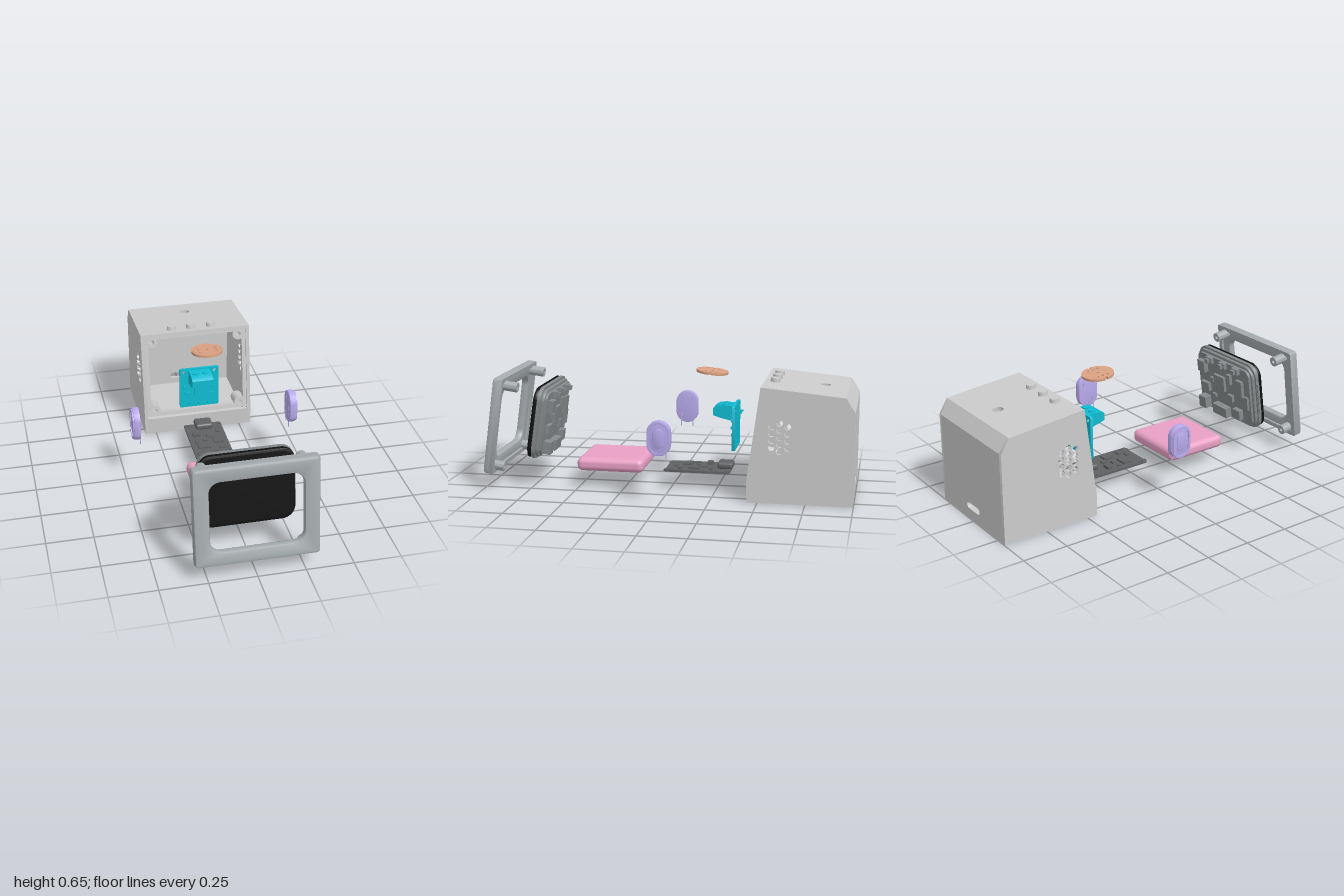
import * as THREE from 'three';
import { toCreasedNormals } from 'three/addons/utils/BufferGeometryUtils.js';
import { RoundedBoxGeometry } from 'three/addons/geometries/RoundedBoxGeometry.js';

const CX = 0.0025, W = 0.635, TILT = -0.138;
const mat = (color) => new THREE.MeshStandardMaterial({ color });
const M = {
  grey: mat(0xcccccc), bezel: mat(0xa5abae), module: mat(0x858a8c), black: mat(0x111111),
  board: mat(0x606264), pink: mat(0xe8a0c4), lilac: mat(0xb9abec), cyan: mat(0x0fbcd2), copper: mat(0xdba183),
};

function add(parent, name, geo, material, x = 0, y = 0, z = 0) {
  const m = new THREE.Mesh(geo, material);
  m.name = name;
  m.position.set(x, y, z);
  parent.add(m);
  return m;
}
function group(parent, name, x = 0, y = 0, z = 0, rx = 0) {
  const g = new THREE.Group();
  g.name = name;
  g.position.set(x, y, z);
  g.rotation.x = rx;
  parent.add(g);
  return g;
}
const box = (p, name, m, w, h, d, x, y, z) => add(p, name, new THREE.BoxGeometry(w, h, d), m, x, y, z);

// Rounded rectangle centred on (cx, cy)
function rounded(w, h, r, cx = 0, cy = 0) {
  const s = new THREE.Shape(), a = w / 2 - r, b = h / 2 - r;
  s.absarc(cx + a, cy + b, r, 0, Math.PI / 2);
  s.absarc(cx - a, cy + b, r, Math.PI / 2, Math.PI);
  s.absarc(cx - a, cy - b, r, Math.PI, Math.PI * 1.5);
  s.absarc(cx + a, cy - b, r, Math.PI * 1.5, Math.PI * 2);
  return s;
}
function circle(x, y, r, n = 24, start = 0) {
  const pts = [];
  for (let i = 0; i < n; i++) {
    const t = start + (i / n) * Math.PI * 2;
    pts.push(new THREE.Vector2(x + r * Math.cos(t), y + r * Math.sin(t)));
  }
  return new THREE.Shape(pts);
}
const polygon = (pts) => new THREE.Shape(pts.map(([x, y]) => new THREE.Vector2(x, y)));

// Extrusion from z0 to z1, with an optional edge bevel inside that range
function slab(shape, z0, z1, holes = [], bevel = 0) {
  shape.holes.push(...holes);
  const g = new THREE.ExtrudeGeometry(shape, {
    depth: z1 - z0 - 2 * bevel, bevelEnabled: bevel > 0, bevelSize: bevel,
    bevelThickness: bevel, bevelSegments: 2, curveSegments: 10,
  });
  g.translate(0, 0, z0 + bevel);
  return toCreasedNormals(g, 0.6);
}
// Turns a (z, y) drawing so that it is extruded along x
const alongX = (g) => g.rotateY(-Math.PI / 2);

function buildCase(root) {
  const g = group(root, 'case', CX);
  const profile = [[-0.51, 0.615], [-0.949, 0.573], [-0.997, 0.495], [-0.997, 0], [-0.445, 0], [-0.44, 0.1]];
  // Side walls with a honeycomb of vents
  for (const s of [-1, 1]) {
    const holes = [];
    for (let c = -1; c <= 1; c++) {
      const rows = c === 0 ? 5 : 4;
      for (let r = 0; r < rows; r++) {
        holes.push(circle(-0.612 + c * 0.042, 0.356 + (r - (rows - 1) / 2) * 0.0375, 0.019, 6));
      }
    }
    add(g, 'sideWall', alongX(slab(polygon(profile), -0.01, 0.01, holes)), M.grey, s * (W / 2 - 0.01));
  }
  // Top, slope, back, floor and front sill follow the profile
  const names = ['topWall', 'rearSlope', 'backWall', 'floor', 'frontSill'];
  const holes = { 0: [circle(0, 0.317, 0.028)], 2: [rounded(0.13, 0.036, 0.0175, 0, 0.42)] };
  names.forEach((name, i) => {
    const a = new THREE.Vector3(0, profile[i][1], profile[i][0]);
    const b = new THREE.Vector3(0, profile[i + 1][1], profile[i + 1][0]);
    const dir = b.clone().sub(a), len = dir.length(), X = new THREE.Vector3(1, 0, 0);
    dir.normalize();
    const w = W / 2 - 0.015;
    const geo = slab(polygon([[-w, 0], [w, 0], [w, len], [-w, len]]), -0.02, 0, holes[i] || []);
    geo.applyMatrix4(new THREE.Matrix4().makeBasis(X, dir, X.clone().cross(dir)).setPosition(a));
    add(g, name, geo, M.grey);
  });
  // Inner rim and screw bosses at the opening
  const rim = group(g, 'openingRim', 0, 0.358, -0.476, TILT);
  add(rim, 'rim', slab(rounded(0.605, 0.5, 0.01), -0.04, -0.008, [rounded(0.55, 0.45, 0.03)]), M.grey);
  for (const x of [-0.255, 0.255]) for (const y of [-0.215, 0.21]) {
    add(rim, 'screwBoss', slab(circle(x, y, 0.034), -0.1, -0.004, [circle(x, y, 0.015)]), M.grey);
  }
  // Push buttons
  for (const x of [-0.125, -0.012, 0.105]) {
    const b = add(g, 'button', new THREE.CylinderGeometry(0.025, 0.03, 0.05, 20), M.grey, x - CX, 0.607, -0.565);
    b.rotation.x = -0.095;
  }
}

function buildBezel(root) {
  const g = group(root, 'bezel', CX, 0.356, 0.963, TILT);
  const e = 0.012;
  add(g, 'frontFrame', slab(rounded(W - 2 * e, 0.53 - 2 * e, 0.01), -0.042, 0, [rounded(0.5, 0.4, 0.07)], e), M.bezel);
  add(g, 'rearRim', slab(rounded(W, 0.53, 0.012), -0.055, -0.012, [rounded(0.585, 0.48, 0.015)]), M.bezel);
  for (const x of [-0.252, 0.252]) for (const top of [true, false]) {
    const y = top ? 0.222 : -0.226, end = top ? -0.125 : -0.1;
    add(g, 'screwPost', slab(circle(x, y, 0.027), end, -0.03, [circle(x, y, 0.01)]), M.bezel);
  }
}

function buildDisplay(root) {
  const g = group(root, 'displayModule', 0.003, 0.36, 0.748, TILT - 0.01);
  add(g, 'screen', slab(rounded(0.47, 0.362, 0.055), -0.016, 0.002), M.black);
  add(g, 'screenSurround', slab(rounded(0.49, 0.385, 0.065), -0.026, -0.002, [], 0.004), M.black);
  add(g, 'housing', slab(rounded(0.5, 0.4, 0.07), -0.044, -0.024), M.module);
  add(g, 'rearHousing', slab(rounded(0.47, 0.37, 0.06), -0.062, -0.042, [], 0.005), M.module);
  box(g, 'sideTabs', M.module, 0.512, 0.19, 0.014, 0, 0, -0.034);
  add(g, 'circuitBoard', slab(rounded(0.45, 0.345, 0.04), -0.076, -0.06), M.module);
  // Components: width, height, depth, x, y
  const parts = [
    [0.09, 0.09, 0.018, 0.03, 0.03], [0.06, 0.07, 0.03, 0.17, 0.1], [0.05, 0.1, 0.02, -0.15, 0.05],
    [0.07, 0.05, 0.022, 0.16, -0.03], [0.12, 0.06, 0.04, 0.02, -0.14], [0.06, 0.07, 0.045, 0.17, -0.13],
    [0.06, 0.06, 0.03, -0.12, -0.12], [0.04, 0.04, 0.018, -0.06, -0.04], [0.03, 0.06, 0.02, -0.06, 0.08],
    [0.025, 0.025, 0.015, 0.1, 0.03], [0.03, 0.02, 0.015, 0.09, -0.07], [0.025, 0.08, 0.015, -0.2, -0.03],
  ];
  for (const [w, h, d, x, y] of parts) box(g, 'component', M.module, w, h, d, x, y, -0.075 - d / 2);
  for (const x of [-0.125, -0.012, 0.105]) {
    box(g, 'switchBody', M.module, 0.05, 0.035, 0.025, x, 0.155, -0.085);
    box(g, 'switchCap', M.module, 0.025, 0.025, 0.018, x, 0.155, -0.105);
  }
}

function buildSpeaker(root, side) {
  const g = group(root, side > 0 ? 'leftSpeaker' : 'rightSpeaker', side * 0.438, 0.353, 0);
  const turn = (geo) => (side > 0 ? alongX(geo).rotateY(Math.PI) : alongX(geo));
  add(g, 'speakerBody', turn(slab(rounded(0.118, 0.177, 0.0585), -0.021, 0.014, [], 0.004)), M.lilac);
  add(g, 'speakerRing', turn(slab(rounded(0.114, 0.174, 0.0565), 0.012, 0.021, [rounded(0.088, 0.148, 0.0435)])), M.lilac);
  add(g, 'speakerCone', turn(slab(rounded(0.05, 0.1, 0.024), 0.012, 0.019, [], 0.003)), M.lilac);
  for (const z of [-0.034, 0.034]) {
    box(g, 'contactPin', M.lilac, 0.004, 0.06, 0.005, -side * 0.02, -0.084, z);
  }
  for (const z of [-0.03, 0.03]) for (const y of [-0.045, 0, 0.045]) {
    box(g, 'rearRib', M.lilac, 0.004, 0.02, 0.01, -side * 0.021, y, z);
  }
}

function buildAmplifier(root) {
  const g = group(root, 'amplifierBoard', -0.012, 0.342, -0.342);
  const corners = [-0.09, 0.09].map((x) => circle(x, 0.1, 0.011));
  add(g, 'board', slab(rounded(0.225, 0.245, 0.008), -0.008, 0.008, corners), M.cyan);
  // Screw terminal with a sloping front
  const block = polygon([[0, 0.03], [0.085, 0.05], [0.118, 0.062], [0.118, 0.1], [0.095, 0.115], [0, 0.115]]);
  add(g, 'terminalBlock', alongX(slab(block, -0.06, 0.06)), M.cyan, -0.002);
  for (const x of [-0.03, 0.027]) {
    add(g, 'terminalScrew', new THREE.CylinderGeometry(0.018, 0.018, 0.01, 16), M.cyan, x, 0.116, 0.055);
    box(g, 'terminalPin', M.cyan, 0.01, 0.01, 0.03, x, 0.075, -0.02);
  }
  box(g, 'chip', M.cyan, 0.06, 0.06, 0.012, 0, -0.02, 0.013);
  for (const [x, y] of [[0.08, 0.04], [0.08, 0], [0.07, -0.04], [-0.07, -0.03], [-0.08, 0.01]]) {
    box(g, 'smallComponent', M.cyan, 0.022, 0.014, 0.01, x, y, 0.012);
  }
  for (let i = 0; i < 7; i++) box(g, 'headerPad', M.cyan, 0.014, 0.014, 0.022, -0.084 + i * 0.028, -0.105, 0);
}

function buildController(root) {
  const g = group(root, 'controllerBoard', 0, 0.098, -0.145);
  const holes = [];
  for (const x of [-0.092, 0.092]) for (const y of [-0.155, -0.135, 0.155]) holes.push(circle(x, y, 0.008, 12));
  add(g, 'board', slab(rounded(0.215, 0.355, 0.006), -0.006, 0.006, holes).rotateX(-Math.PI / 2), M.board);
  add(g, 'usbSocket', new RoundedBoxGeometry(0.1, 0.036, 0.085, 3, 0.014), M.board, 0, 0.024, -0.145);
  // Components: width, height, depth, x, z
  const parts = [
    [0.07, 0.012, 0.05, -0.04, 0.07], [0.05, 0.012, 0.06, 0.05, 0.02], [0.04, 0.018, 0.03, -0.06, -0.05],
    [0.03, 0.01, 0.03, 0.01, -0.03], [0.04, 0.01, 0.02, 0.06, 0.1], [0.02, 0.012, 0.02, 0.07, -0.07],
    [0.03, 0.01, 0.02, -0.02, 0.01], [0.025, 0.01, 0.02, 0.02, 0.13], [0.02, 0.01, 0.03, -0.07, 0.02],
  ];
  for (const [w, h, d, x, z] of parts) box(g, 'component', M.board, w, h, d, x, 0.005 + h / 2, z);
  for (const x of [-0.085, 0.085]) box(g, 'endTab', M.board, 0.022, 0.01, 0.03, x, 0, 0.17);
}

function buildDisc(root) {
  const g = group(root, 'microphoneDisc', 0.006, 0.638, -0.212, -0.1);
  // Disc outline with two small notches on its edge
  const s = new THREE.Shape(), r = 0.087, n = 0.09;
  s.absarc(0, 0, r, n, Math.PI - n);
  s.lineTo(-r + 0.014, 0.008).lineTo(-r + 0.014, -0.008);
  s.absarc(0, 0, r, Math.PI + n, Math.PI * 2 - n);
  s.lineTo(r - 0.014, -0.008).lineTo(r - 0.014, 0.008);
  const holes = [circle(0, 0, 0.008, 12)];
  for (const x of [-0.048, 0.048]) for (const y of [-0.03, 0, 0.03]) holes.push(circle(x, y, 0.008, 12));
  const geo = slab(s, -0.007, 0.007, holes).rotateX(-Math.PI / 2);
  add(g, 'disc', geo, M.copper).rotation.x = 0.0;
  g.rotation.x = -0.1;
}

export function createModel() {
  const root = new THREE.Group();
  root.name = 'explodedDesktopDevice';
  buildCase(root);
  buildBezel(root);
  buildDisplay(root);
  buildSpeaker(root, 1);
  buildSpeaker(root, -1);
  buildAmplifier(root);
  buildController(root);
  buildDisc(root);
  // Battery pack
  add(root, 'battery', new RoundedBoxGeometry(0.37, 0.074, 0.37, 5, 0.03), M.pink, -0.005, 0.128, 0.325);
  return root;
}
